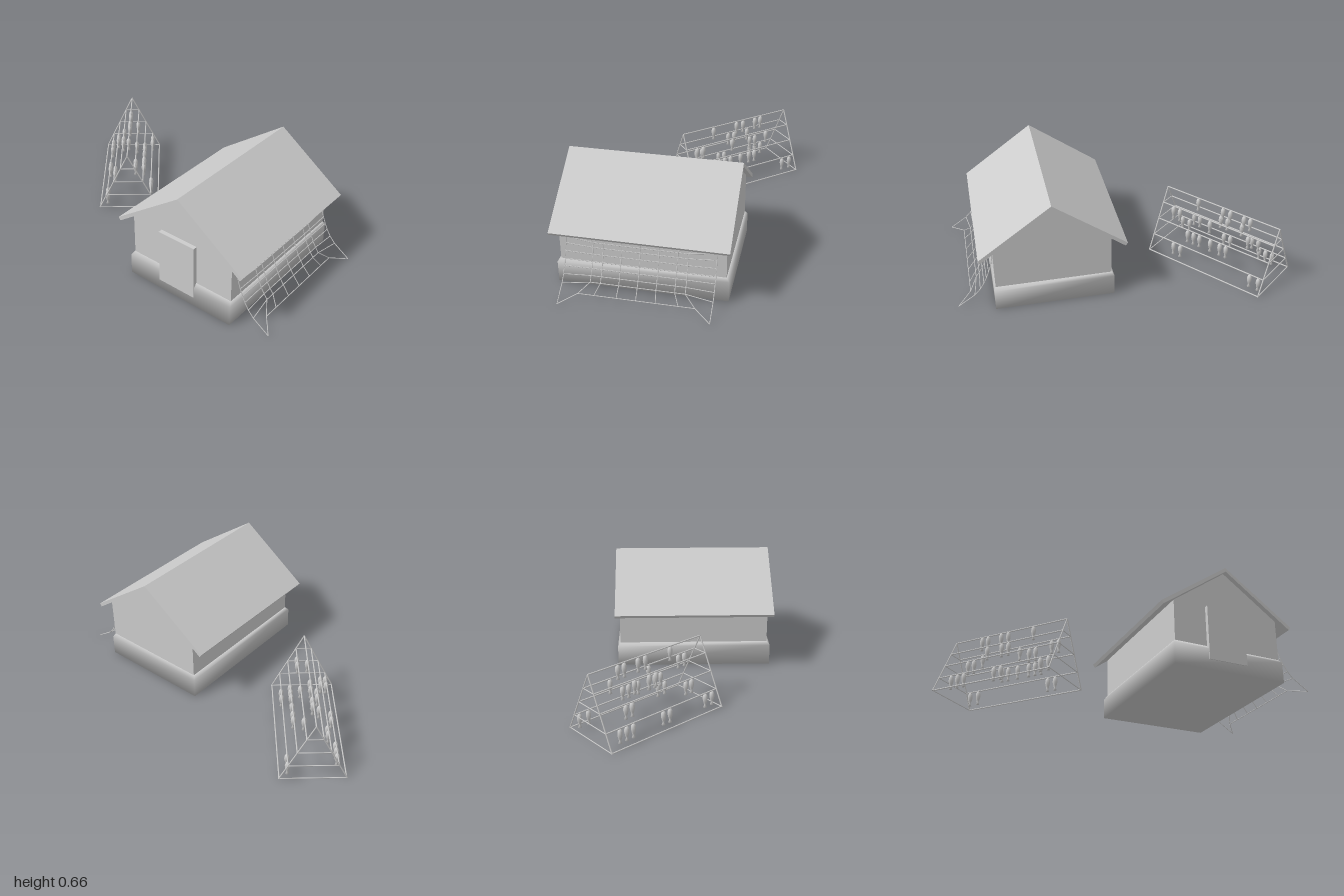
import * as THREE from 'three';
import { mergeGeometries } from 'three/addons/utils/BufferGeometryUtils.js';

const material = new THREE.MeshStandardMaterial({ color: 0xcccccc });
const V = (x, y, z) => new THREE.Vector3(x, y, z);

function mesh(name, geometry) {
  const m = new THREE.Mesh(geometry, material);
  m.name = name;
  return m;
}

// Thin round bar between two points
function bar(a, b, radius, sides = 6) {
  const g = new THREE.CylinderGeometry(radius, radius, a.distanceTo(b), sides);
  const dir = b.clone().sub(a).normalize();
  g.applyQuaternion(new THREE.Quaternion().setFromUnitVectors(V(0, 1, 0), dir));
  const mid = a.clone().add(b).multiplyScalar(0.5);
  return g.translate(mid.x, mid.y, mid.z);
}

// Extrude a (z, y) outline along x
function extrudeX(outline, x0, x1) {
  const shape = new THREE.Shape(outline.map(([z, y]) => new THREE.Vector2(z, y)));
  const g = new THREE.ExtrudeGeometry(shape, { depth: x1 - x0, bevelEnabled: false });
  return g.rotateY(-Math.PI / 2).translate(x1, 0, 0);
}

// Smooth-shaded foundation with a sloped shoulder, from rectangular rings
function foundationGeometry() {
  const rings = [
    [0, -0.59, 0.36, 0.095, 0.79],
    [0.125, -0.59, 0.36, 0.095, 0.79],
    [0.147, -0.57, 0.345, 0.108, 0.78],
  ];
  const pos = [], idx = [];
  for (const [y, x0, x1, z0, z1] of rings) pos.push(x0, y, z1, x1, y, z1, x1, y, z0, x0, y, z0);
  for (let r = 0; r < rings.length - 1; r++) {
    for (let i = 0; i < 4; i++) {
      const a = r * 4 + i, b = r * 4 + (i + 1) % 4;
      idx.push(a, b, b + 4, a, b + 4, a + 4);
    }
  }
  const t = (rings.length - 1) * 4;
  idx.push(0, 2, 1, 0, 3, 2, t, t + 1, t + 2, t, t + 2, t + 3);
  const g = new THREE.BufferGeometry();
  g.setAttribute('position', new THREE.Float32BufferAttribute(pos, 3));
  g.setIndex(idx);
  g.computeVertexNormals();
  return g;
}

function createHouse() {
  const house = new THREE.Group();
  house.name = 'house';
  house.add(mesh('foundation', foundationGeometry()));
  house.add(mesh('walls', extrudeX(
    [[0.11, 0.1], [0.78, 0.1], [0.78, 0.394], [0.444, 0.636], [0.11, 0.394]], -0.57, 0.345)));
  house.add(mesh('roof', extrudeX(
    [[0.444, 0.66], [0.02, 0.358], [0.032, 0.34], [0.444, 0.637], [0.852, 0.34], [0.864, 0.358]],
    -0.6, 0.372)));
  const door = new THREE.BoxGeometry(0.03, 0.33, 0.24);
  house.add(mesh('door', door.translate(-0.58, 0.225, 0.43)));
  return house;
}

// Net hung from the eave, sweeping outwards to the ground
function createNet() {
  const centre = -0.1175;
  // inner [y, z], outer edge [y, z] for each row
  const rows = [
    [0.335, 0.785, 0.38, 0.785], [0.278, 0.79, 0.3, 0.787], [0.252, 0.797, 0.262, 0.795],
    [0.217, 0.81, 0.22, 0.809], [0.18, 0.825, 0.18, 0.825], [0.145, 0.84, 0.145, 0.842],
    [0.112, 0.86, 0.107, 0.866], [0.083, 0.88, 0.07, 0.9], [0.03, 0.922, 0.004, 0.998],
  ];
  const middle = [0, 0.102, 0.203, 0.26];
  const flared = [0, 0.107, 0.23, 0.32];
  const grid = rows.map(([y, z, oy, oz], r) => {
    const offsets = r === 0 || r === rows.length - 1 ? flared : middle;
    const half = offsets.map((o) => [o, y, z]);
    half.push([0.4125, oy, oz]);
    const left = half.slice(1).reverse().map(([o, py, pz]) => V(centre - o, py, pz));
    return left.concat(half.map(([o, py, pz]) => V(centre + o, py, pz)));
  });
  const strands = [];
  grid.forEach((row, r) => row.forEach((p, c) => {
    if (c + 1 < row.length) strands.push(bar(p, row[c + 1], 0.0025, 5));
    if (r + 1 < grid.length) strands.push(bar(p, grid[r + 1][c], 0.0025, 5));
  }));
  return mesh('net', mergeGeometries(strands));
}

// A-frame rack, built along local x and then turned
function createRack() {
  const rack = new THREE.Group();
  rack.name = 'dryingRack';
  const halfLength = 0.388, halfWidth = 0.186, top = 0.383;
  const levels = [0.006, 0.1, 0.195, 0.29];
  const depthAt = (y) => halfWidth * (1 - y / top);

  const bars = [bar(V(-halfLength, top, 0), V(halfLength, top, 0), 0.004)];
  for (const y of levels) {
    const d = depthAt(y);
    for (const s of [-1, 1]) {
      bars.push(bar(V(-halfLength, y, s * d), V(halfLength, y, s * d), 0.004));
      bars.push(bar(V(s * halfLength, y, -d), V(s * halfLength, y, d), 0.003));
    }
  }
  for (const sx of [-1, 1]) for (const sz of [-1, 1]) {
    bars.push(bar(V(sx * halfLength, 0.004, sz * halfWidth), V(sx * halfLength, top, 0), 0.004));
  }
  rack.add(mesh('rackFrame', mergeGeometries(bars)));

  // Fish hanging head up, tail down: [bar height, side, positions along the bar]
  const profile = [[0, -0.086], [0.011, -0.086], [0.005, -0.072], [0.01, -0.056], [0.0145, -0.036],
    [0.0135, -0.018], [0.008, -0.005], [0, 0]].map(([r, y]) => new THREE.Vector2(r, y));
  const fishShape = new THREE.LatheGeometry(profile, 10);
  const hung = [
    [top, 0, [-0.21, 0.015, 0.08, 0.2, 0.255]],
    [0.29, 1, [-0.4, -0.34, -0.06, 0.28]],
    [0.29, -1, [-0.03, 0.03, 0.16]],
    [0.195, 1, [-0.22, -0.165, -0.11, -0.01, 0.075, 0.13]],
    [0.195, -1, [-0.31, -0.255, 0.23, 0.285]],
    [0.1, 1, [-0.31, -0.245, 0.385, 0.46]],
    [0.1, -1, [-0.457, -0.39, -0.055, 0.005, 0.27, 0.327, 0.385]],
  ];
  const fish = [];
  for (const [y, side, spots] of hung) for (const t of spots) {
    fish.push(fishShape.clone().translate(t * 2 * halfLength, y, side * depthAt(y)));
  }
  rack.add(mesh('hangingFish', mergeGeometries(fish)));

  rack.position.set(0.17, 0, -0.602);
  rack.rotation.y = Math.atan2(0.505, 0.6);
  return rack;
}

export function createModel() {
  const model = new THREE.Group();
  model.name = 'fishingHut';
  model.add(createHouse(), createNet(), createRack());
  return model;
}
